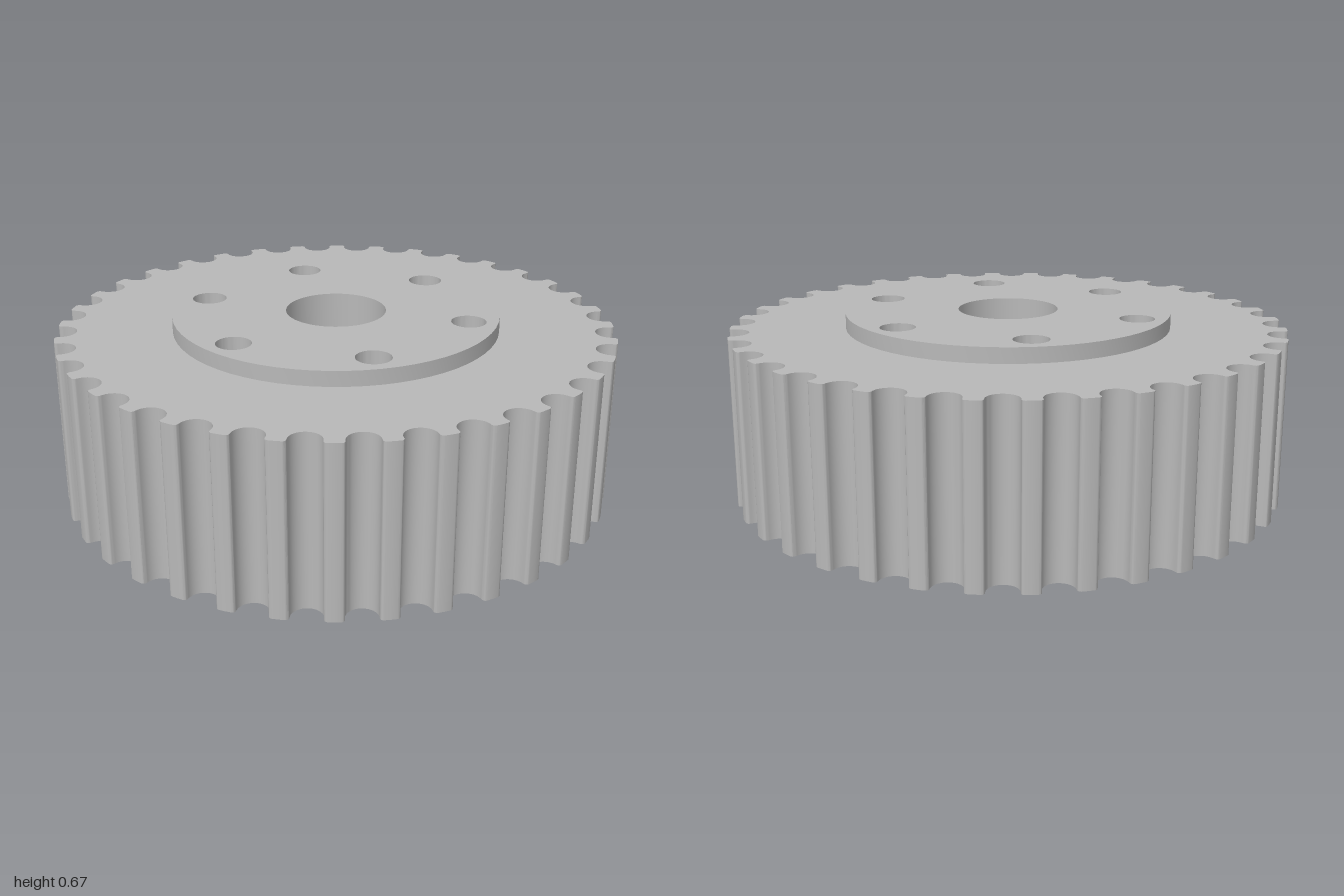
import * as THREE from 'three';
import { toCreasedNormals } from 'three/addons/utils/BufferGeometryUtils.js';

const TEETH = 36, R = 1.0015;
const RIM_TOP = 0.61, HUB_TOP = 0.665, HUB_R = 0.587;
const BORE_R = 0.18, BOLT_R = 0.062, BOLT_RING = 0.484;
const RECESS_R = 0.11, RECESS_DEPTH = 0.3;

// One round-bottomed belt groove as [tangential, radial] points
function grooveProfile() {
  const half = [];
  for (let i = 0; i <= 8; i++) {
    const a = -Math.PI / 2 + (i / 8) * Math.PI / 2;
    half.push([0.054 * Math.cos(a), 0.981 + 0.054 * Math.sin(a)]);
  }
  for (let i = 0; i <= 4; i++) {
    const a = Math.PI - (i / 4) * Math.PI / 2;
    half.push([0.066 + 0.012 * Math.cos(a), 0.987 + 0.012 * Math.sin(a)]);
  }
  const left = half.slice(1).reverse().map(([t, r]) => [-t, r]);
  return [...left, ...half];
}

// Full toothed outline, clockwise
function toothOutline() {
  const points = [];
  const profile = grooveProfile();
  for (let k = 0; k < TEETH; k++) {
    const a = (k / TEETH) * Math.PI * 2, c = Math.cos(a), s = Math.sin(a);
    for (const [t, r] of profile) points.push(new THREE.Vector2(t * c + r * s, r * c - t * s));
    const tip = a + Math.PI / TEETH;
    points.push(new THREE.Vector2(R * Math.sin(tip), R * Math.cos(tip)));
  }
  return points;
}

// Upright wall following a closed outline
function wall(points, height) {
  const pos = [];
  points.forEach((p, i) => {
    const q = points[(i + 1) % points.length];
    const a = [p.x, 0, -p.y], b = [q.x, 0, -q.y];
    const at = [p.x, height, -p.y], bt = [q.x, height, -q.y];
    pos.push(...a, ...at, ...b, ...b, ...at, ...bt);
  });
  const g = new THREE.BufferGeometry();
  g.setAttribute('position', new THREE.Float32BufferAttribute(pos, 3));
  return toCreasedNormals(g, 0.6);
}

// Revolved surface: rising points face outward, falling points inward
function turned(profile) {
  const g = new THREE.LatheGeometry(profile.map(([x, y]) => new THREE.Vector2(x, y)), 64);
  return toCreasedNormals(g, 0.6);
}

function circle(type, x, y, r) {
  return new type().absarc(x, y, r, 0, Math.PI * 2, false);
}

const boltCentres = Array.from({ length: 6 }, (_, i) => {
  const a = Math.PI / 2 + (i * Math.PI) / 3;
  return [BOLT_RING * Math.cos(a), BOLT_RING * Math.sin(a)];
});

// Flat horizontal face, looking up or down
function face(shape, y, down = false) {
  const g = new THREE.ShapeGeometry(shape, 32);
  g.rotateX(down ? Math.PI / 2 : -Math.PI / 2);
  return g.translate(0, y, 0);
}

export function createModel() {
  const group = new THREE.Group();
  group.name = 'timingPulley';
  const metal = new THREE.MeshStandardMaterial({ color: 0xb8b8b8 });
  metal.name = 'grey metal';
  const add = (name, geometry, x = 0, z = 0) => {
    const mesh = new THREE.Mesh(geometry, metal);
    mesh.name = name;
    mesh.position.set(x, 0, z);
    group.add(mesh);
  };

  // Toothed body
  const outline = toothOutline();
  add('teeth', wall(outline, RIM_TOP));
  const topRing = new THREE.Shape(outline);
  topRing.holes.push(circle(THREE.Path, 0, 0, HUB_R));
  add('bodyTop', face(topRing, RIM_TOP));
  const base = new THREE.Shape(outline);
  base.holes.push(circle(THREE.Path, 0, 0, BORE_R));
  for (const [x, y] of boltCentres) base.holes.push(circle(THREE.Path, x, y, RECESS_R));
  add('bodyBottom', face(base, 0, true));

  // Raised hub
  add('hubRim', turned([[HUB_R, RIM_TOP], [HUB_R, HUB_TOP]]));
  const hub = circle(THREE.Shape, 0, 0, HUB_R);
  hub.holes.push(circle(THREE.Path, 0, 0, BORE_R));
  for (const [x, y] of boltCentres) hub.holes.push(circle(THREE.Path, x, y, BOLT_R));
  add('hubTop', face(hub, HUB_TOP));

  // Shaft bore and bolt holes, widened from below
  add('shaftBore', turned([[BORE_R, HUB_TOP], [BORE_R, 0]]));
  for (const [x, y] of boltCentres) {
    add('boltHole', turned([
      [BOLT_R, HUB_TOP], [BOLT_R, RECESS_DEPTH], [RECESS_R, RECESS_DEPTH], [RECESS_R, 0],
    ]), x, y);
  }
  return group;
}
